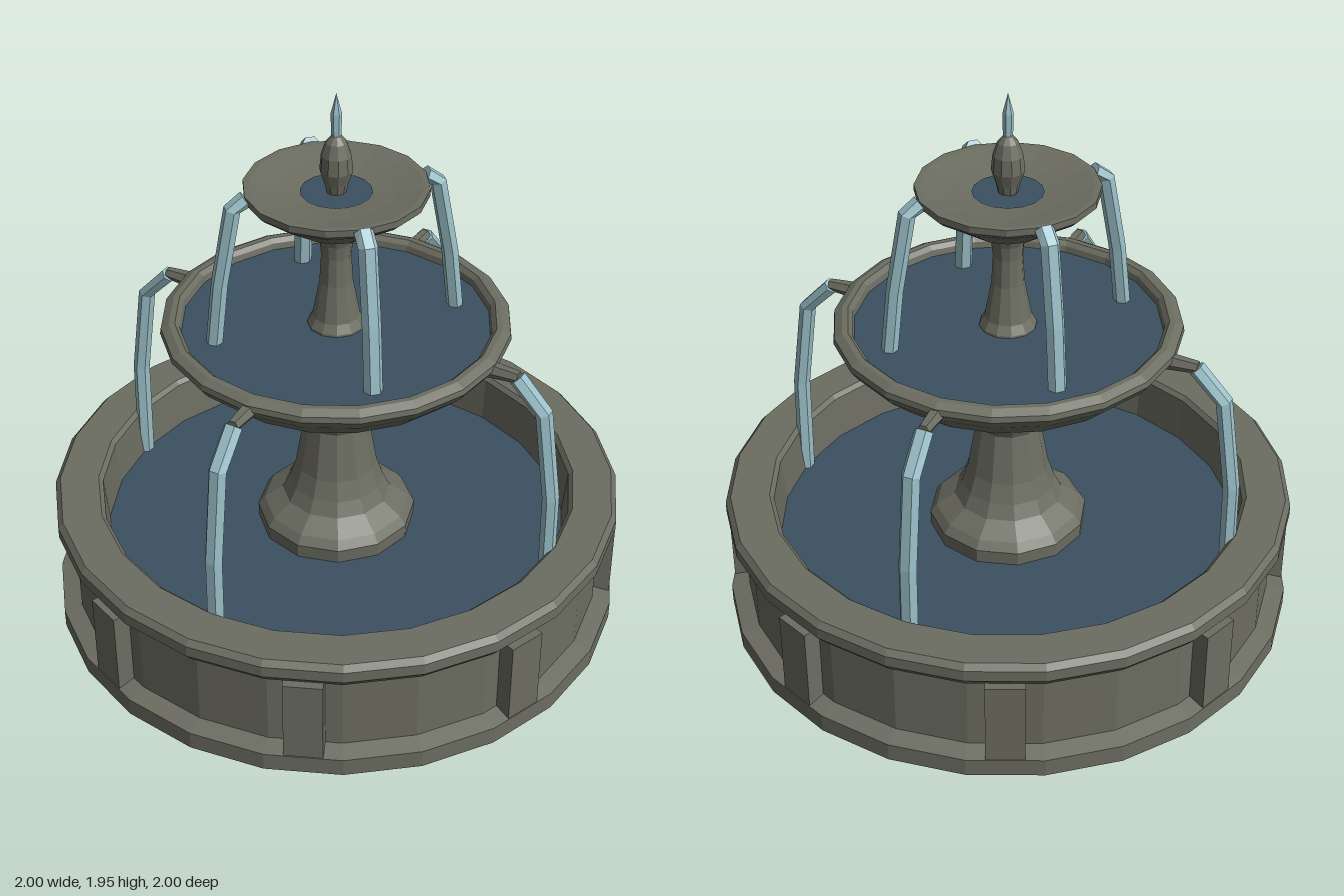
import * as THREE from 'three';

const stone = new THREE.MeshStandardMaterial({ color: 0x6c6d61 });
const pool = new THREE.MeshStandardMaterial({ color: 0x3c5060 });
const stream = new THREE.MeshStandardMaterial({ color: 0x9abfc8 });
stone.name = 'weathered stone';
pool.name = 'still water';
stream.name = 'falling water';

// Faceted mesh: unshared vertices give one normal per face
function faceted(name, geometry, material) {
  const flat = geometry.index ? geometry.toNonIndexed() : geometry;
  flat.computeVertexNormals();
  const mesh = new THREE.Mesh(flat, material);
  mesh.name = name;
  return mesh;
}

// Turned part from [radius, height] pairs, listed bottom to top on the outside
function turned(name, profile, sides, material) {
  const points = profile.map(([r, y]) => new THREE.Vector2(r, y));
  return faceted(name, new THREE.LatheGeometry(points, sides), material);
}

function waterDisc(name, radius, y, sides) {
  const disc = faceted(name, new THREE.CircleGeometry(radius, sides).rotateX(-Math.PI / 2), pool);
  disc.position.y = y;
  return disc;
}

// Six-sided stream swept along [radius, height] points, in the x-y plane
function streamGeometry(path, halfDepth, halfWidth) {
  const sides = 6;
  const positions = [];
  const index = [];
  path.forEach(([x, y], i) => {
    const a = path[Math.max(i - 1, 0)];
    const b = path[Math.min(i + 1, path.length - 1)];
    const tangent = new THREE.Vector2(b[0] - a[0], b[1] - a[1]).normalize();
    for (let k = 0; k < sides; k++) {
      const t = (k / sides) * Math.PI * 2;
      const out = Math.sin(t) * halfDepth;
      positions.push(x - tangent.y * out, y + tangent.x * out, Math.cos(t) * halfWidth);
    }
  });
  for (let i = 0; i < path.length - 1; i++) {
    for (let k = 0; k < sides; k++) {
      const p = i * sides + k;
      const q = i * sides + ((k + 1) % sides);
      index.push(p, p + sides, q, q, p + sides, q + sides);
    }
  }
  // End caps
  const last = (path.length - 1) * sides;
  for (let k = 1; k < sides - 1; k++) {
    index.push(0, k, k + 1, last, last + k + 1, last + k);
  }
  const geometry = new THREE.BufferGeometry();
  geometry.setAttribute('position', new THREE.Float32BufferAttribute(positions, 3));
  geometry.setIndex(index);
  return geometry;
}

// Copies of a part spaced evenly around the fountain's axis
function ring(name, count, startAngle, makePart) {
  const group = new THREE.Group();
  group.name = name;
  for (let i = 0; i < count; i++) {
    const part = makePart();
    part.rotation.y = startAngle + (i * Math.PI * 2) / count;
    group.add(part);
  }
  return group;
}

export function createModel() {
  const fountain = new THREE.Group();
  fountain.name = 'fountain';

  // Ground basin: plinth, recessed wall, bevelled rim and sloping inside
  fountain.add(turned('basin', [
    [0, 0], [1, 0], [1, 0.065], [0.937, 0.08], [0.937, 0.36], [0.965, 0.365],
    [0.993, 0.4], [0.993, 0.44], [0.975, 0.46], [0.84, 0.46], [0.825, 0.445], [0.808, 0.26],
  ], 24, stone));
  fountain.add(waterDisc('basinWater', 0.815, 0.285, 24));

  // Pilasters between the wall panels
  fountain.add(ring('pilasters', 8, Math.PI / 8, () =>
    faceted('pilaster', new THREE.BoxGeometry(0.08, 0.305, 0.13).translate(0.949, 0.2175, 0), stone)));

  // Lower column with flared foot and collar
  fountain.add(turned('lowerColumn', [
    [0.275, 0.26], [0.278, 0.335], [0.255, 0.365], [0.19, 0.41], [0.165, 0.46], [0.142, 0.53],
    [0.112, 0.71], [0.125, 0.74], [0.122, 0.8], [0.105, 0.83], [0.105, 0.86],
  ], 12, stone));

  // Middle bowl
  fountain.add(turned('middleBowl', [
    [0, 0.83], [0.12, 0.83], [0.34, 0.9], [0.48, 0.99], [0.565, 1.07], [0.59, 1.105],
    [0.587, 1.125], [0.56, 1.14], [0.54, 1.14], [0.525, 1.125], [0.515, 1.08],
  ], 20, stone));
  fountain.add(waterDisc('middleWater', 0.522, 1.103, 20));

  // Tapered spouts on the middle bowl and the streams they pour
  fountain.add(ring('spouts', 4, 0, () =>
    faceted('spout', new THREE.CylinderGeometry(0.021, 0.03, 0.12, 6)
      .rotateZ(-Math.PI / 2).translate(0.61, 1.098, 0), stone)));
  const lowerPath = [[0.665, 1.095], [0.765, 0.99], [0.81, 0.66], [0.815, 0.27]];
  fountain.add(ring('lowerStreams', 4, 0, () =>
    faceted('lowerStream', streamGeometry(lowerPath, 0.028, 0.032), stream)));

  // Upper column
  fountain.add(turned('upperColumn', [
    [0.1, 1.08], [0.097, 1.11], [0.08, 1.14], [0.056, 1.27], [0.05, 1.37],
    [0.055, 1.42], [0.068, 1.46],
  ], 12, stone));

  // Top bowl, nearly flat inside
  fountain.add(turned('topBowl', [
    [0, 1.455], [0.075, 1.455], [0.14, 1.487], [0.215, 1.54], [0.285, 1.588], [0.303, 1.605],
    [0.303, 1.628], [0.283, 1.628], [0.2, 1.612], [0.11, 1.6],
  ], 16, stone));
  fountain.add(waterDisc('topWater', 0.118, 1.604, 16));

  // Streams over the lip of the top bowl, on the diagonals
  const upperPath = [[0.3, 1.62], [0.345, 1.59], [0.395, 1.32], [0.42, 1.095]];
  fountain.add(ring('upperStreams', 4, Math.PI / 4, () =>
    faceted('upperStream', streamGeometry(upperPath, 0.028, 0.032), stream)));

  // Finial and jet
  fountain.add(turned('finial', [
    [0.03, 1.59], [0.04, 1.635], [0.055, 1.68], [0.05, 1.735], [0.035, 1.78], [0.014, 1.805],
  ], 10, stone));
  fountain.add(turned('jet', [[0.016, 1.79], [0.018, 1.88], [0, 1.95]], 6, stream));

  return fountain;
}
